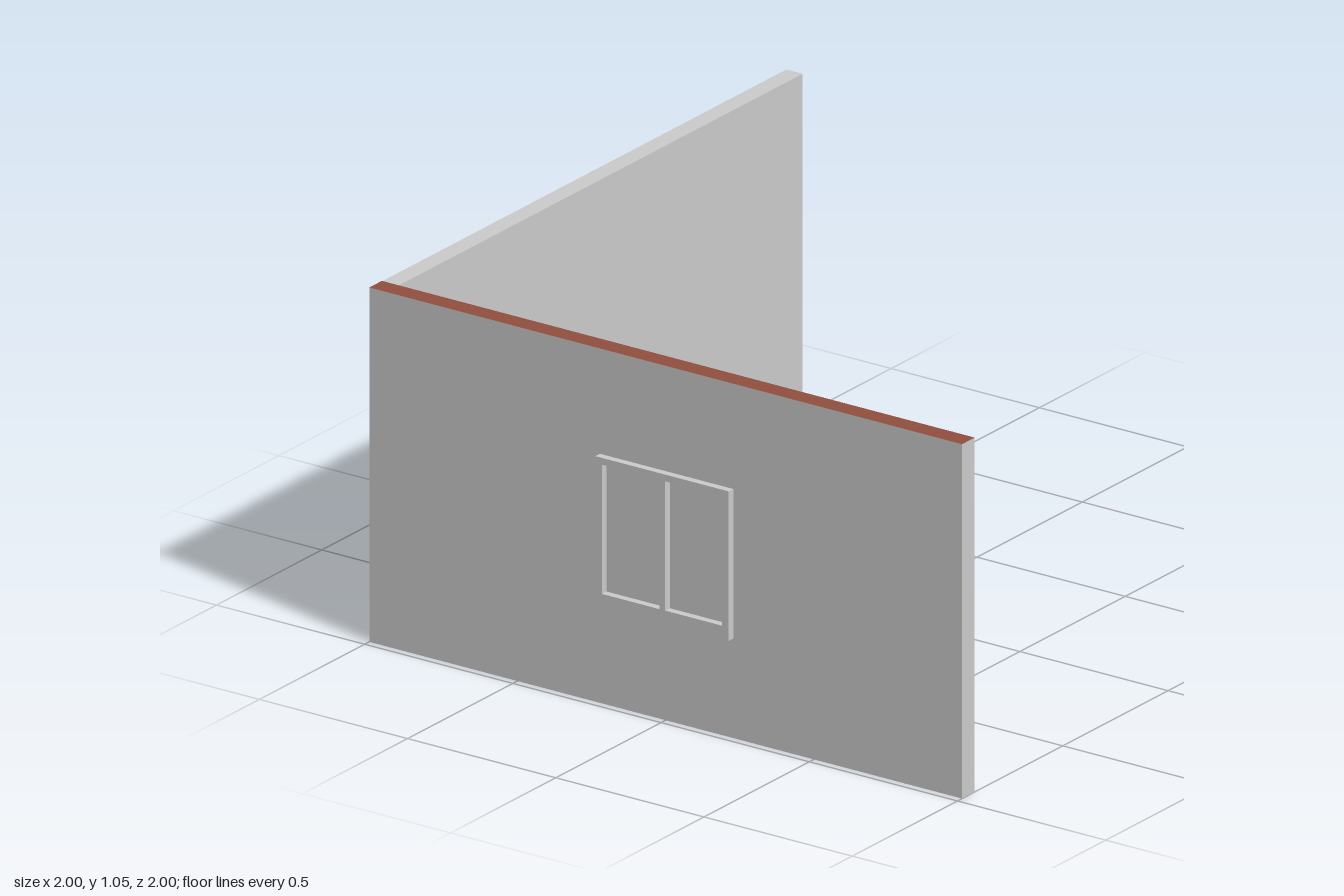
import * as THREE from 'three';

const grey = new THREE.MeshStandardMaterial({ color: 0xcccccc });
const brick = new THREE.MeshStandardMaterial({ color: 0x914f3e });

const HEIGHT = 1.05;

// Box given by its minimum and maximum corners
function box(name, [x0, y0, z0], [x1, y1, z1], material = grey) {
  const mesh = new THREE.Mesh(new THREE.BoxGeometry(x1 - x0, y1 - y0, z1 - z0), material);
  mesh.position.set((x0 + x1) / 2, (y0 + y1) / 2, (z0 + z1) / 2);
  mesh.name = name;
  return mesh;
}

// Rectangle as a closed path in the z-y plane of the window
function rect(target, z0, y0, z1, y1) {
  target.moveTo(z0, y0).lineTo(z1, y0).lineTo(z1, y1).lineTo(z0, y1).closePath();
  return target;
}

// Extrudes a z-y outline along x, from x0 to x1
function extrudeAlongX(name, shape, x0, x1) {
  const geometry = new THREE.ExtrudeGeometry(shape, { depth: x1 - x0, bevelEnabled: false });
  geometry.rotateY(-Math.PI / 2);
  geometry.translate(x1, 0, 0);
  const mesh = new THREE.Mesh(geometry, grey);
  mesh.name = name;
  return mesh;
}

// Two-pane frame, standing proud of one face of the wall
function windowFrame(name, x0, x1) {
  const shape = rect(new THREE.Shape(), -0.222, 0.295, 0.228, 0.738);
  for (const [z0, z1] of [[-0.2, -0.005], [0.014, 0.205]]) {
    shape.holes.push(rect(new THREE.Path(), z0, 0.335, z1, 0.718));
  }
  return extrudeAlongX(name, shape, x0, x1);
}

export function createModel() {
  const model = new THREE.Group();
  model.name = 'wallCorner';

  // Walls: the side wall shows brick on its top
  model.add(box('sideWall', [-0.978, 0, -1], [-0.918, HEIGHT, 1],
    [grey, grey, brick, grey, grey, grey]));
  model.add(box('backWall', [-0.918, 0, -0.998], [1, HEIGHT, -0.943]));

  // Window on both faces of the side wall
  const window = new THREE.Group();
  window.name = 'window';
  window.add(windowFrame('outerFrame', -1, -0.978));
  window.add(windowFrame('innerFrame', -0.918, -0.9));

  // Sill with slanted ends
  const sill = new THREE.Shape();
  sill.moveTo(-0.222, 0.295).lineTo(0.228, 0.295).lineTo(0.206, 0.315).lineTo(-0.2, 0.315).closePath();
  window.add(extrudeAlongX('sill', sill, -0.9, -0.865));
  model.add(window);

  return model;
}
